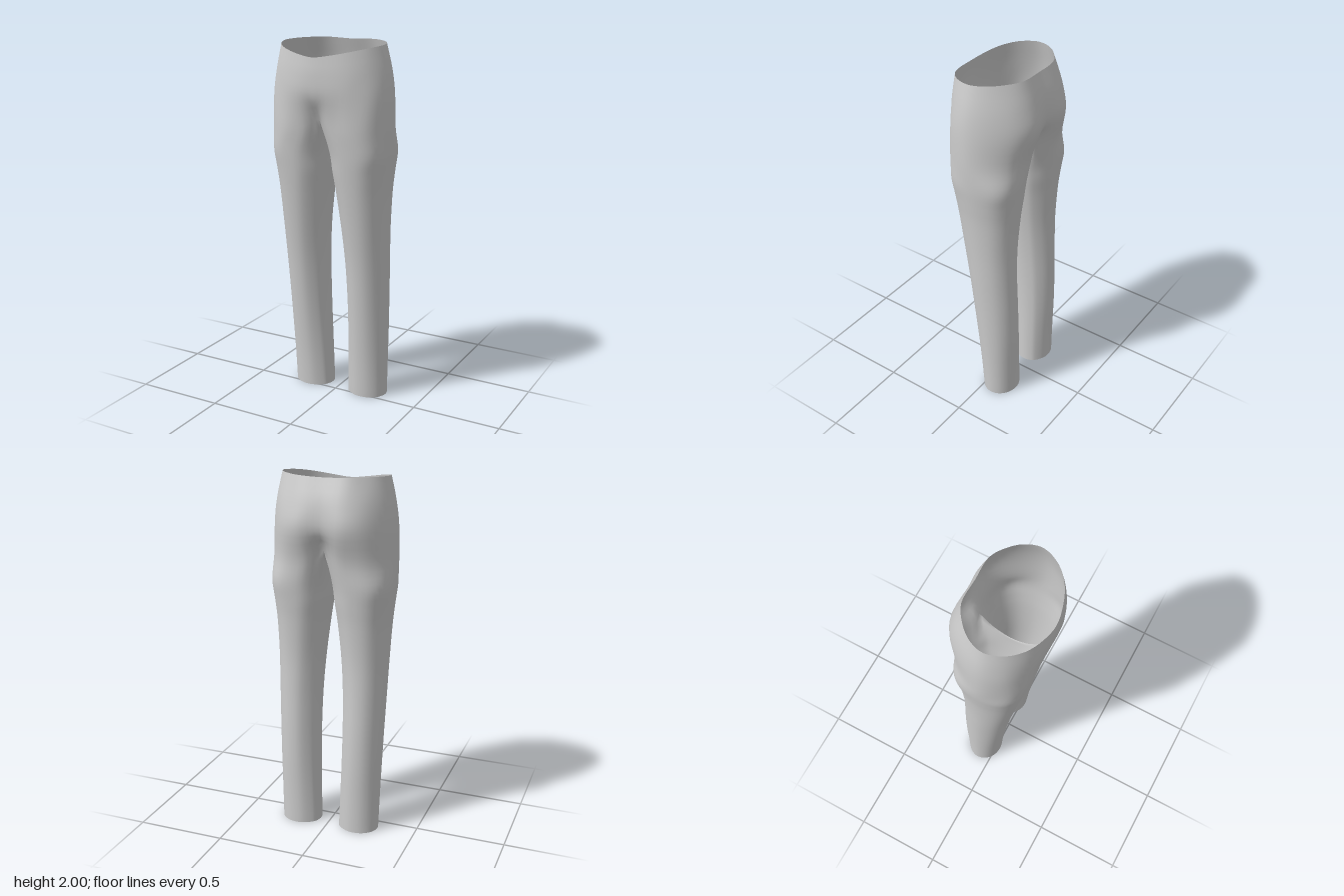
import * as THREE from 'three';
import { mergeVertices } from 'three/addons/utils/BufferGeometryUtils.js';

const STEP = 4;                 // samples between neighbouring control points
const OUTER = 8 * STEP;         // last column of the outer arc (front seam to back seam)
const COLS = 12 * STEP;         // columns of a full leg ring
const V = (x, y, z) => new THREE.Vector3(x, y, z);

// Leg sections: height, inner x, outer x, front z, back z, squareness
const LEGS = [
  [0.00, 0.058, 0.287, 0.025, -0.175, 1],
  [0.20, 0.064, 0.291, 0.040, -0.176, 1],
  [0.40, 0.070, 0.296, 0.060, -0.178, 1],
  [0.60, 0.072, 0.301, 0.082, -0.175, 1],
  [0.80, 0.068, 0.307, 0.106, -0.168, 1],
  [1.00, 0.056, 0.312, 0.135, -0.165, 0.97],
  [1.20, 0.035, 0.321, 0.165, -0.176, 0.94],
  [1.32, 0.019, 0.332, 0.183, -0.188, 0.9],
  [1.43, 0.007, 0.342, 0.198, -0.199, 0.86],
];

// Crotch ring: outer arc from front seam to back seam, then the saddle under it
const CROTCH = [
  [0, 1.61, 0.175], [0.08, 1.57, 0.205], [0.19, 1.56, 0.21], [0.29, 1.56, 0.155],
  [0.345, 1.56, 0.03], [0.314, 1.56, -0.09], [0.225, 1.56, -0.185], [0.1, 1.57, -0.208],
  [0, 1.62, -0.17], [0, 1.545, -0.09], [0, 1.51, 0.01], [0, 1.54, 0.1],
];

// Half sections of the hips, from front seam round the side to back seam
const HIPS = [
  [[0, 1.73, 0.238], [0.1, 1.73, 0.236], [0.2, 1.73, 0.208], [0.295, 1.73, 0.14],
    [0.34, 1.73, 0.03], [0.311, 1.73, -0.085], [0.226, 1.73, -0.198], [0.12, 1.73, -0.249],
    [0, 1.73, -0.23]],
  [[0, 1.84, 0.25], [0.11, 1.84, 0.236], [0.21, 1.85, 0.195], [0.285, 1.86, 0.125],
    [0.325, 1.86, 0.025], [0.296, 1.86, -0.08], [0.22, 1.86, -0.177], [0.12, 1.86, -0.226],
    [0, 1.86, -0.224]],
  [[0, 1.935, 0.246], [0.1, 1.948, 0.228], [0.19, 1.966, 0.188], [0.26, 1.982, 0.12],
    [0.295, 1.992, 0.03], [0.276, 1.997, -0.05], [0.22, 2, -0.12], [0.13, 2, -0.176],
    [0, 1.996, -0.178]],
];

// Twelve control points round one leg, starting at the front inside
function legPoints([y, xi, xo, zf, zb, e]) {
  const angles = [140, 105, 70, 35, 0, -35, -70, -105, -140, -160, -180, -200];
  const pow = (v) => Math.sign(v) * Math.abs(v) ** e;
  return angles.map((deg) => {
    const a = THREE.MathUtils.degToRad(deg);
    return V((xi + xo) / 2 + pow(Math.cos(a)) * (xo - xi) / 2, y,
      (zf + zb) / 2 + pow(Math.sin(a)) * (zf - zb) / 2);
  });
}

const spline = (pts, closed = false) => new THREE.CatmullRomCurve3(pts, closed, 'catmullrom', 0.5);

function closedRing(pts) {
  const curve = spline(pts, true);
  return Array.from({ length: COLS }, (_, i) => curve.getPoint(i / COLS));
}

// Open half ring, continued past both seams by its mirror image
function halfRing(pts) {
  const flip = (p) => V(-p.x, p.y, p.z);
  const curve = spline([flip(pts[1]), ...pts, flip(pts[7])]);
  return Array.from({ length: OUTER + 1 }, (_, i) => curve.getPoint((1 + i / STEP) / 10));
}

// Columns of one trouser half, each running from hem to crotch or waist
function buildColumns() {
  const crotch = CROTCH.map((p) => V(...p));
  const crotchRing = closedRing(crotch);
  halfRing(crotch.slice(0, 9)).forEach((p, i) => { crotchRing[i] = p; });
  for (let i = OUTER; i < COLS; i++) crotchRing[i].x = 0;
  const rings = [...LEGS.map((s) => closedRing(legPoints(s))), crotchRing,
    ...HIPS.map((s) => halfRing(s.map((p) => V(...p))))];
  const crotchRow = LEGS.length * STEP;
  return Array.from({ length: COLS }, (_, i) => {
    const column = rings.filter((r) => r[i]).map((r) => r[i]);
    const points = spline(column).getPoints((column.length - 1) * STEP);
    points.forEach((p, k) => {
      const onSeam = k >= crotchRow && (i === 0 || i >= OUTER);
      p.x = onSeam ? 0 : Math.max(p.x, 0.001);
    });
    return points;
  });
}

function trousersGeometry() {
  const cols = buildColumns();
  const positions = [];
  const index = [];
  for (const side of [1, -1]) {
    const starts = cols.map((col) => {
      const start = positions.length / 3;
      col.forEach((p) => positions.push(side * p.x, p.y, p.z));
      return start;
    });
    for (let i = 0; i < COLS; i++) {
      const j = (i + 1) % COLS;
      const rows = i < OUTER ? cols[i].length - 1 : LEGS.length * STEP;
      for (let k = 0; k < rows; k++) {
        const a = starts[i] + k, b = starts[j] + k;
        if (side > 0) index.push(a, b, b + 1, a, b + 1, a + 1);
        else index.push(a, b + 1, b, a, a + 1, b + 1);
      }
    }
  }
  const geo = new THREE.BufferGeometry();
  geo.setAttribute('position', new THREE.Float32BufferAttribute(positions, 3));
  geo.setIndex(index);
  // Weld the halves along the centre seam for smooth shading
  const welded = mergeVertices(geo, 1e-5);
  welded.computeVertexNormals();
  return welded;
}

export function createModel() {
  const group = new THREE.Group();
  group.name = 'trousers';
  const fabric = new THREE.MeshStandardMaterial({ color: 0xcccccc, side: THREE.DoubleSide });
  const mesh = new THREE.Mesh(trousersGeometry(), fabric);
  mesh.name = 'trouserFabric';
  group.add(mesh);
  return group;
}
